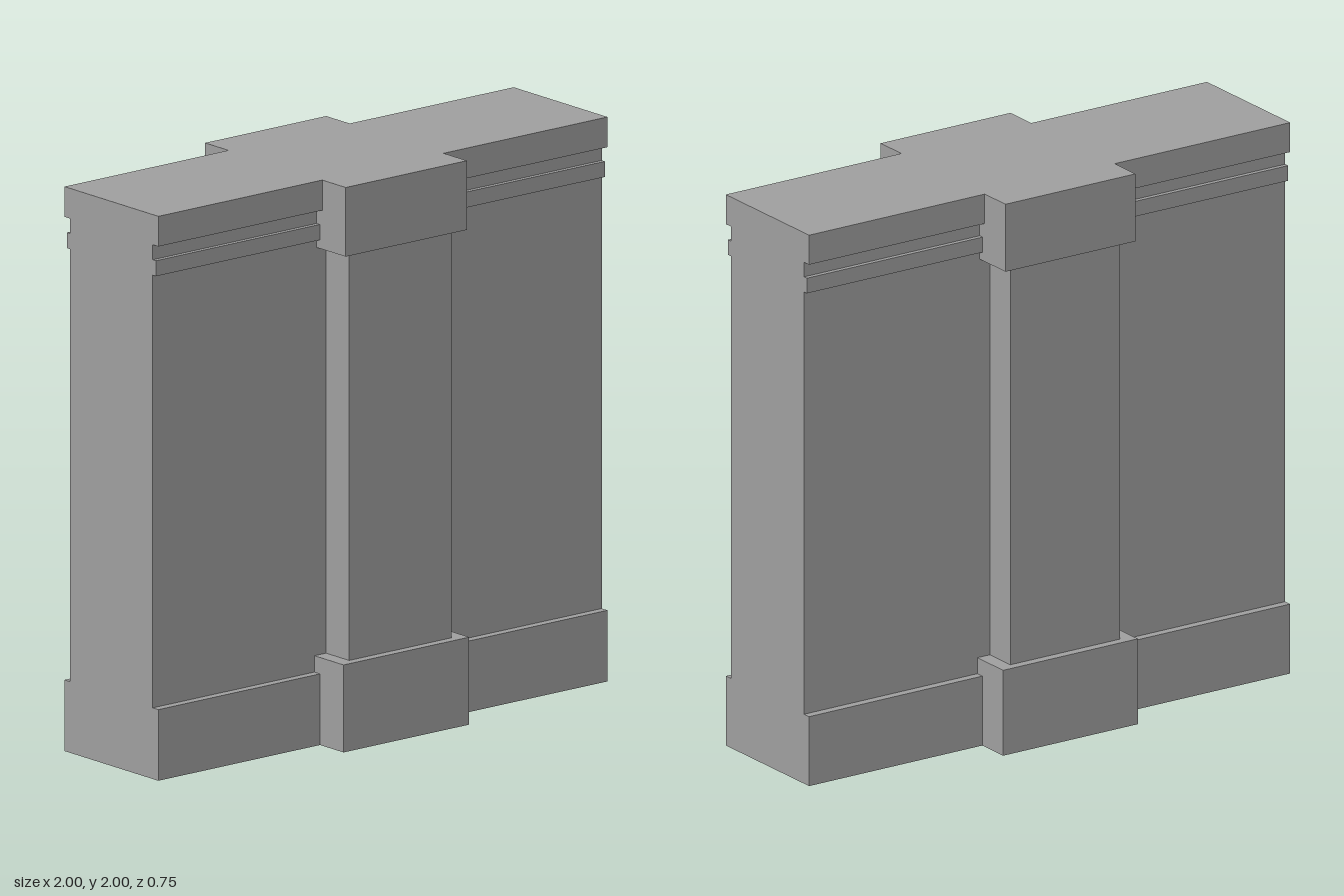
import * as THREE from 'three';

export function createModel() {
  const group = new THREE.Group();
  group.name = 'wallSection';
  const stone = new THREE.MeshStandardMaterial({ color: 0x9e9e9e, side: THREE.DoubleSide });
  stone.name = 'grey stone';

  const add = (name, geometry) => {
    const mesh = new THREE.Mesh(geometry, stone);
    mesh.name = name;
    group.add(mesh);
    return mesh;
  };

  // Box between two heights; skip lists faces left open (0 +x, 1 -x, 2 +y, 3 -y, 4 +z, 5 -z)
  const block = (name, x0, x1, y0, y1, halfDepth, skip = []) => {
    const geo = new THREE.BoxGeometry(x1 - x0, y1 - y0, halfDepth * 2);
    const index = Array.from(geo.index.array);
    geo.setIndex(index.filter((_, i) => !skip.includes(Math.floor(i / 6))));
    geo.clearGroups();
    geo.translate((x0 + x1) / 2, (y0 + y1) / 2, 0);
    return add(name, geo);
  };

  // Wall with moulded cornice: half profile [depth, height], mirrored front to back
  const half = [
    [0.22, 0.25], [0.22, 1.785], [0.237, 1.785], [0.237, 1.84],
    [0.22, 1.84], [0.22, 1.893], [0.25, 1.893], [0.25, 2],
  ];
  const outline = [...half, ...half.map(([d, y]) => [-d, y]).reverse()];
  const shape = new THREE.Shape(outline.map(([d, y]) => new THREE.Vector2(d, y)));
  const wall = new THREE.ExtrudeGeometry(shape, { depth: 2, bevelEnabled: false });
  wall.translate(0, 0, -1);
  wall.rotateY(-Math.PI / 2);
  add('wallAndCornice', wall);

  // Plinths either side, open underneath and where they meet the pilaster base
  block('leftPlinth', 0.28, 1, 0, 0.252, 0.25, [1, 3]);
  block('rightPlinth', -1, -0.28, 0, 0.252, 0.25, [0, 3]);

  // Central pilaster, projecting front and back
  block('pilasterBase', -0.28, 0.28, 0, 0.31, 0.375, [3]);
  block('pilasterShaft', -0.228, 0.228, 0.31, 1.755, 0.343, [2, 3]);
  block('pilasterCap', -0.27, 0.27, 1.755, 2, 0.375);

  return group;
}
